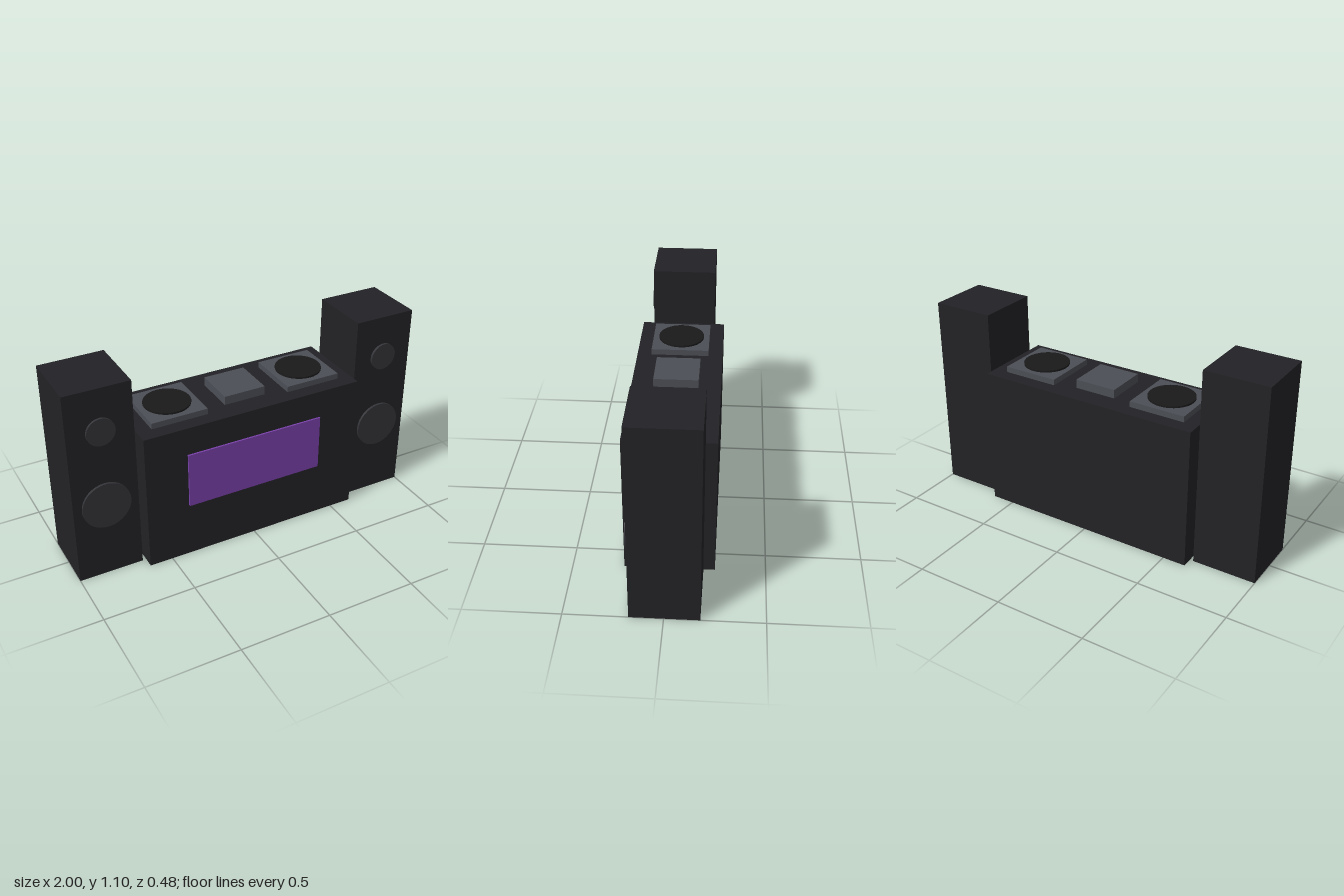
import * as THREE from 'three';

const mat = (color) => new THREE.MeshStandardMaterial({ color });

export function createModel() {
  const model = new THREE.Group();
  model.name = 'djBooth';
  const cabinet = mat(0x222226);
  const deckGrey = mat(0x4b4e55);
  const platterBlack = mat(0x1a1a1a);
  const coneGrey = mat(0x333438);
  const purple = mat(0x7840a8);
  const zMid = -0.003;

  // Box given by its centre in x and z and its bottom in y
  function box(name, parent, material, [w, h, d], [x, y, z]) {
    const mesh = new THREE.Mesh(new THREE.BoxGeometry(w, h, d), material);
    mesh.name = name;
    mesh.position.set(x, y + h / 2, z);
    parent.add(mesh);
  }

  // Flat round disc, standing upright when facing the front
  function disc(name, parent, material, radius, height, [x, y, z], facesFront) {
    const mesh = new THREE.Mesh(new THREE.CylinderGeometry(radius, radius, height, 32), material);
    mesh.name = name;
    mesh.position.set(x, y, z);
    if (facesFront) mesh.rotation.x = Math.PI / 2;
    parent.add(mesh);
  }

  // Booth with its front panel and the mixer on top
  box('booth', model, cabinet, [1.256, 0.785, 0.47], [0, 0, zMid]);
  box('frontPanel', model, purple, [0.786, 0.314, 0.01], [0, 0.315, 0.237]);
  box('mixer', model, deckGrey, [0.236, 0.048, 0.236], [0, 0.785, zMid]);

  for (const [side, s] of [['left', 1], ['right', -1]]) {
    // Turntable: square deck and round platter
    const turntable = new THREE.Group();
    turntable.name = side + 'Turntable';
    box('deck', turntable, deckGrey, [0.314, 0.032, 0.314], [s * 0.393, 0.785, zMid]);
    disc('platter', turntable, platterBlack, 0.126, 0.016, [s * 0.393, 0.819, zMid], false);

    // Speaker: tall cabinet, woofer and tweeter
    const speaker = new THREE.Group();
    speaker.name = side + 'Speaker';
    const x = s * 0.824;
    box('speakerCabinet', speaker, cabinet, [0.352, 1.1, 0.352], [x, 0, zMid]);
    disc('woofer', speaker, coneGrey, 0.131, 0.016, [x, 0.432, 0.178], true);
    disc('tweeter', speaker, coneGrey, 0.076, 0.016, [x, 0.865, 0.178], true);

    model.add(turntable, speaker);
  }
  return model;
}
